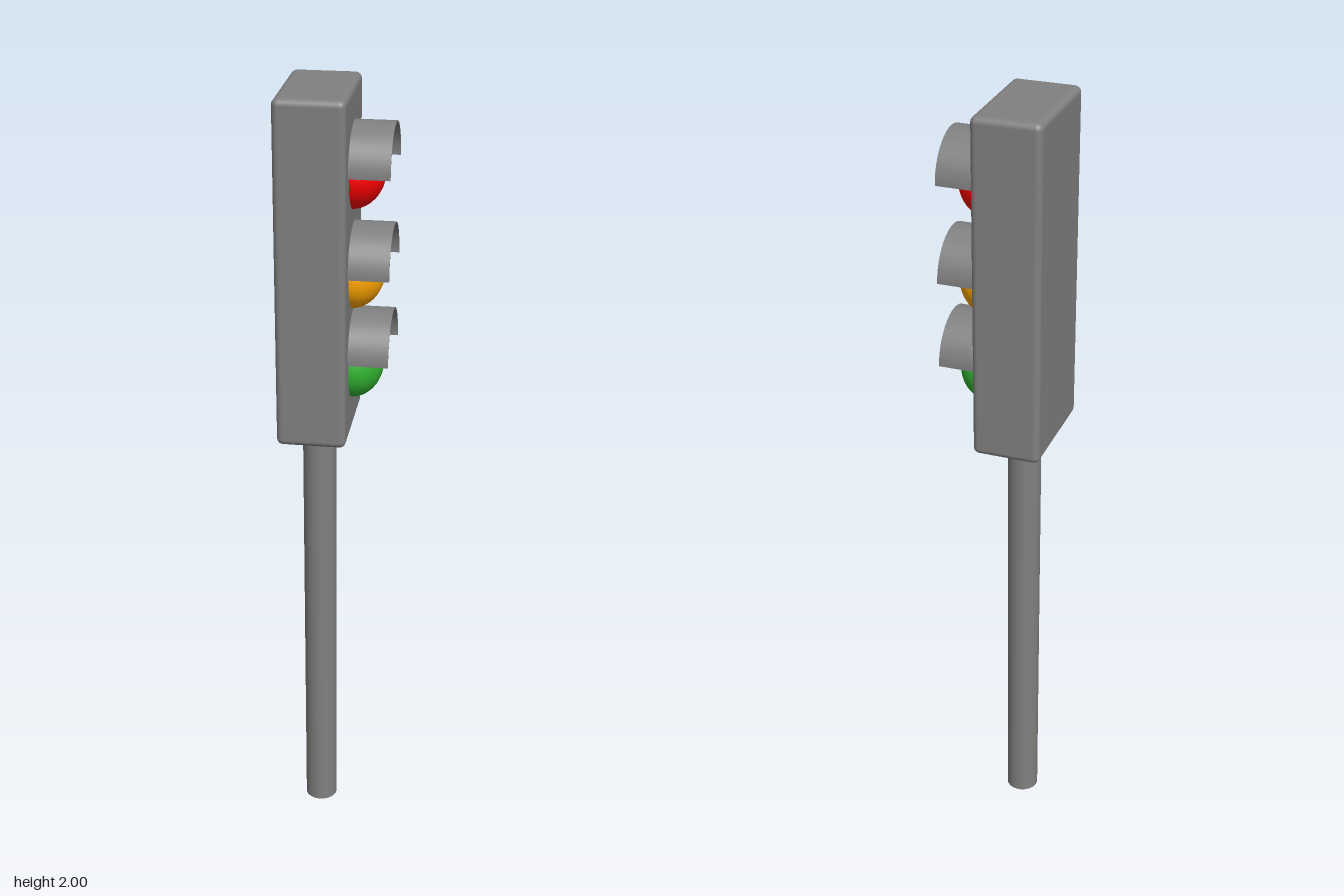
import * as THREE from 'three';
import { RoundedBoxGeometry } from 'three/addons/geometries/RoundedBoxGeometry.js';

export function createModel() {
  const model = new THREE.Group();
  model.name = 'trafficLight';
  const grey = new THREE.MeshStandardMaterial({ color: 0x808080 });

  const add = (name, geometry, material, x, y, z = 0) => {
    const mesh = new THREE.Mesh(geometry, material);
    mesh.name = name;
    mesh.position.set(x, y, z);
    model.add(mesh);
  };

  // Pole and softly rounded housing
  add('pole', new THREE.CylinderGeometry(0.042, 0.042, 1.16, 32), grey, -0.049, 0.58);
  add('housing', new RoundedBoxGeometry(0.17, 0.855, 0.295, 4, 0.016), grey, -0.049, 1.5725);

  // Thin half-round hood, open below, reaching out along +x
  const arch = new THREE.Shape();
  arch.absarc(0, 0, 0.108, 0, Math.PI, false);
  arch.absarc(0, 0, 0.105, Math.PI, 0, true);
  const hood = new THREE.ExtrudeGeometry(arch, { depth: 0.108, bevelEnabled: false, curveSegments: 32 });
  hood.rotateY(Math.PI / 2);

  // Slightly flattened dome
  const lens = new THREE.SphereGeometry(0.09, 40, 24);
  lens.scale(0.88, 1, 1);

  // Three lamps, each with its hood
  const lamps = [
    ['red', 0xff0000, 1.802, 1.812],
    ['amber', 0xffa500, 1.554, 1.568],
    ['green', 0x32b432, 1.32, 1.35],
  ];
  for (const [name, color, lensY, hoodY] of lamps) {
    add(name + 'Lens', lens, new THREE.MeshStandardMaterial({ color }), 0.033, lensY);
    add(name + 'Hood', hood, grey, 0.026, hoodY);
  }
  return model;
}
